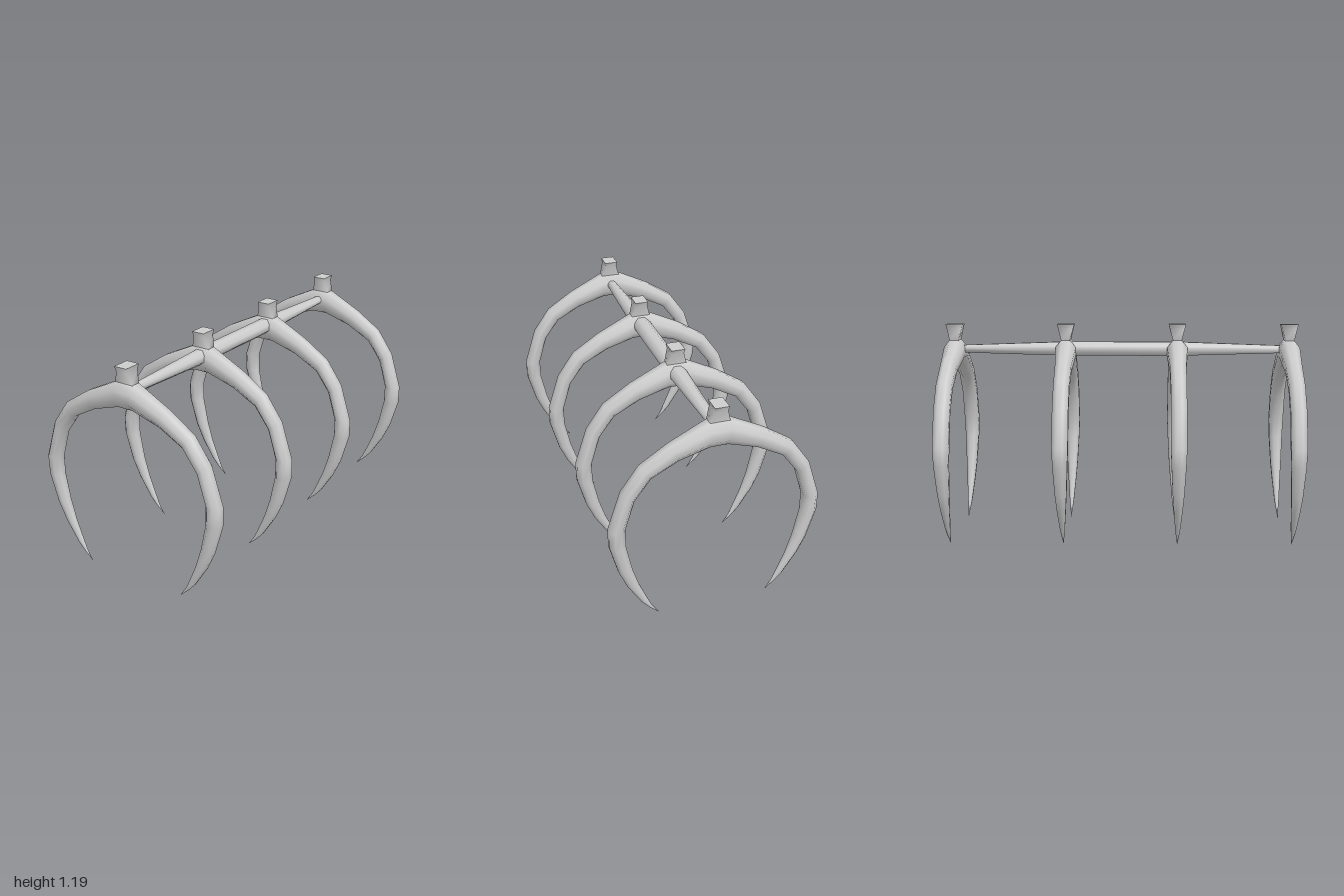
import * as THREE from 'three';

// Skin a list of rings (arrays of Vector3, counter-clockwise around the path).
function loft(rings, capEnd = false) {
  const n = rings[0].length;
  const points = rings.flat();
  const index = [];
  for (let j = 0; j < rings.length - 1; j++) {
    for (let k = 0; k < n; k++) {
      const a = j * n + k, b = j * n + (k + 1) % n;
      index.push(a, b, b + n, a, b + n, a + n);
    }
  }
  if (capEnd) {
    const start = points.length;
    points.push(...rings[rings.length - 1].map((p) => p.clone()));
    for (let k = 1; k < n - 1; k++) index.push(start, start + k, start + k + 1);
  }
  const geometry = new THREE.BufferGeometry().setFromPoints(points);
  geometry.setIndex(index);
  geometry.computeVertexNormals();
  return geometry;
}

// Octagon with flats facing along u and w; u and w reach the flats.
function octagon(center, u, w) {
  const s = 1 / Math.cos(Math.PI / 8);
  return Array.from({ length: 8 }, (_, k) => {
    const a = (k + 0.5) * Math.PI / 4;
    return center.clone().addScaledVector(u, s * Math.cos(a)).addScaledVector(w, s * Math.sin(a));
  });
}

// Half rib: outer x, outer y, inner x, inner y, half depth.
const RIB = [
  [0.05, 1.105, 0.045, 0.97, 0.057],
  [0.245, 1.01, 0.203, 0.92, 0.045],
  [0.395, 0.913, 0.343, 0.845, 0.043],
  [0.49, 0.78, 0.427, 0.733, 0.043],
  [0.556, 0.575, 0.475, 0.575, 0.043],
  [0.556, 0.475, 0.473, 0.47, 0.039],
  [0.51, 0.31, 0.44, 0.32, 0.031],
  [0.465, 0.21, 0.404, 0.21, 0.023],
  [0.39, 0.09, 0.357, 0.102, 0.013],
  [0.35, 0.045, 0.335, 0.055, 0.007],
  [0.301, 0, 0.299, 0.002, 0.001],
];

function ribGeometry() {
  const mirrored = RIB.map(([ox, oy, ix, iy, d]) => [-ox, oy, -ix, iy, d]).reverse();
  return loft([...mirrored, ...RIB].map(([ox, oy, ix, iy, d]) => octagon(
    new THREE.Vector3((ox + ix) / 2, (oy + iy) / 2, 0),
    new THREE.Vector3((ox - ix) / 2, (oy - iy) / 2, 0),
    new THREE.Vector3(0, 0, d),
  )), true);
}

// Flared neck on top of each rib: y, half width, half depth.
function neckGeometry() {
  const levels = [[1.1, 0.054, 0.025], [1.108, 0.051, 0.026], [1.168, 0.033, 0.042], [1.193, 0.037, 0.048]];
  return loft(levels.map(([y, w, d]) => [[w, d], [w, -d], [-w, -d], [-w, d]]
    .map(([x, z]) => new THREE.Vector3(x, y, z))), true);
}

// Tapered bar joining the ribs: z, centre y, half width, half height.
function spineGeometry() {
  const stations = [
    [-0.93, 1.053, 0.025, 0.02], [-0.313, 1.055, 0.047, 0.039],
    [0.313, 1.055, 0.047, 0.039], [0.93, 1.053, 0.025, 0.02],
  ];
  return loft(stations.map(([z, y, w, h]) => octagon(
    new THREE.Vector3(0, y, z),
    new THREE.Vector3(w, 0, 0),
    new THREE.Vector3(0, h, 0),
  )));
}

export function createModel() {
  const model = new THREE.Group();
  const bone = new THREE.MeshStandardMaterial({ color: 0xcccccc });
  bone.name = 'bone grey';

  const add = (parent, name, geometry) => {
    const mesh = new THREE.Mesh(geometry, bone);
    mesh.name = name;
    parent.add(mesh);
  };

  const rib = ribGeometry();
  const neck = neckGeometry();
  [0.942, 0.314, -0.314, -0.942].forEach((z, i) => {
    const pair = new THREE.Group();
    pair.name = `ribPair${i + 1}`;
    pair.position.z = z;
    add(pair, 'ribArch', rib);
    add(pair, 'neck', neck);
    model.add(pair);
  });
  add(model, 'spineBar', spineGeometry());
  return model;
}
